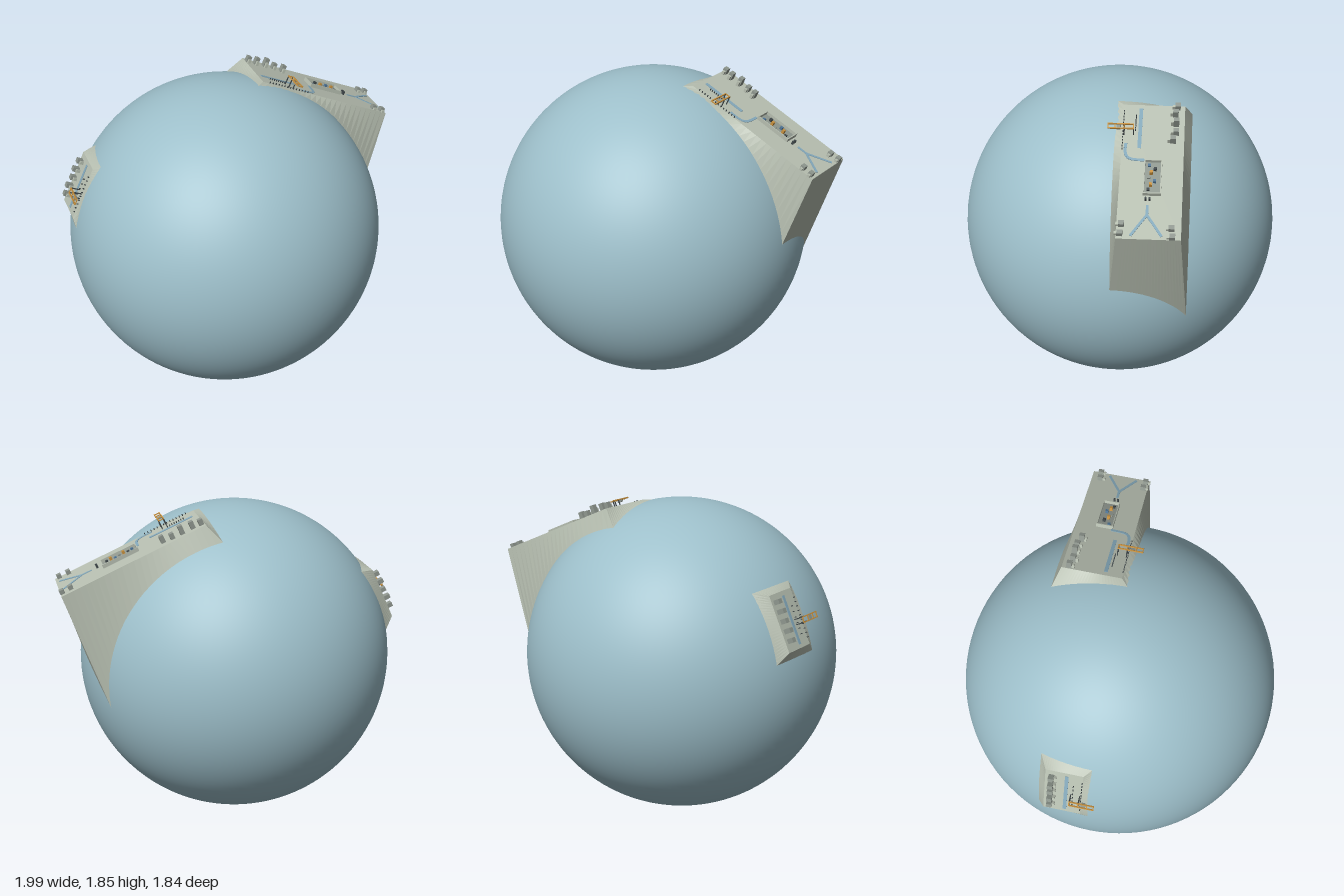
import * as THREE from 'three';

const R = 0.922;
const mat = (name, color, side = THREE.FrontSide) => {
  const m = new THREE.MeshStandardMaterial({ color, side });
  m.name = name;
  return m;
};

export function createModel() {
  const model = new THREE.Group();
  const water = mat('planet blue', 0x9dbfca);
  const concrete = mat('pale concrete', 0xb7bfb1);
  const machinery = mat('machinery grey', 0x8f978f);
  const stripe = mat('stripe blue', 0x84a8ba);
  const amber = mat('amber', 0xc8913f);
  const dark = mat('dark grey', 0x3f474a);
  const navy = mat('cargo blue', 0x4f7597);

  function add(parent, name, geometry, material, x = 0, y = 0, z = 0) {
    const mesh = new THREE.Mesh(geometry, material);
    mesh.name = name;
    mesh.position.set(x, y, z);
    parent.add(mesh);
    return mesh;
  }
  // box standing on height y
  const box = (p, name, m, w, h, d, x, y, z) =>
    add(p, name, new THREE.BoxGeometry(w, h, d), m, x, y + h / 2, z);

  // planet
  add(model, 'planet', new THREE.SphereGeometry(R, 96, 64), water, -0.077, 0.923, 0);

  // flared wall from the deck edge down to the planet surface
  function skirt(x0, x1, z0, z1, top, flare) {
    const deck = [[x0, z1], [x1, z1], [x1, z0], [x0, z0]];
    const base = [[x0 - flare, z1 + flare], [x1 + flare, z1 + flare],
      [x1 + flare, z0 - flare], [x0 - flare, z0 - flare]];
    const pos = [];
    const n = 24;
    const mix = (loop, k, f) => {
      const a = loop[k], b = loop[(k + 1) % 4];
      return [a[0] + (b[0] - a[0]) * f, a[1] + (b[1] - a[1]) * f];
    };
    const low = (k, f) => {
      const [x, z] = mix(base, k, f);
      return [x, Math.sqrt(R * R - x * x - z * z) - 0.001, z];
    };
    const high = (k, f) => {
      const [x, z] = mix(deck, k, f);
      return [x, top, z];
    };
    for (let k = 0; k < 4; k++) {
      for (let i = 0; i < n; i++) {
        const f = i / n, g = (i + 1) / n;
        pos.push(...low(k, f), ...low(k, g), ...high(k, g));
        pos.push(...low(k, f), ...high(k, g), ...high(k, f));
      }
    }
    const geo = new THREE.BufferGeometry();
    geo.setAttribute('position', new THREE.Float32BufferAttribute(pos, 3));
    geo.computeVertexNormals();
    return geo;
  }

  // platform tangent to the planet; local y points away from its centre
  const top = R + 0.002;
  function platform(name, tilt, x0, x1, z0, z1) {
    const g = new THREE.Group();
    g.name = name;
    g.position.set(-0.077, 0.923, 0);
    g.rotation.z = THREE.MathUtils.degToRad(tilt);
    model.add(g);
    add(g, 'platformSkirt', skirt(x0, x1, z0, z1, top, 0.042), concrete);
    const deck = new THREE.PlaneGeometry(x1 - x0, z1 - z0).rotateX(-Math.PI / 2);
    add(g, 'platformDeck', deck, concrete, (x0 + x1) / 2, top, (z0 + z1) / 2);
    return g;
  }

  // thin painted strip between two deck points
  function strip(p, ax, az, bx, bz, w = 0.02) {
    const m = box(p, 'deckStripe', stripe, Math.hypot(bx - ax, bz - az), 0.003, w,
      (ax + bx) / 2, top, (az + bz) / 2);
    m.rotation.y = -Math.atan2(bz - az, bx - ax);
  }

  // loading gantry reaching over the front edge
  function gantry(p, x) {
    const g = new THREE.Group();
    g.name = 'gantry';
    g.position.set(x, top, 0);
    p.add(g);
    for (const s of [-1, 1]) {
      for (const z of [-0.1, -0.05]) box(g, 'gantryLeg', dark, 0.005, 0.05, 0.005, s * 0.015, 0, z);
      box(g, 'gantryBeam', amber, 0.006, 0.007, 0.14, s * 0.015, 0.05, -0.03);
    }
    for (const z of [-0.1, -0.05, 0, 0.037]) box(g, 'gantryTie', amber, 0.036, 0.005, 0.005, 0, 0.05, z);
    box(g, 'gantryTrolley', machinery, 0.025, 0.012, 0.022, 0, 0.038, -0.02);
  }

  // stepped storage block
  function block(p, x, z, h) {
    box(p, 'storageBlock', machinery, 0.026, h, 0.03, x, top, z);
    box(p, 'storageBlockStep', concrete, 0.016, h * 0.6, 0.016, x, top, z + 0.021);
  }
  const fence = (p, x0, x1, z, n) => {
    for (let i = 0; i < n; i++)
      box(p, 'fencePost', dark, 0.005, 0.01, 0.005, x0 + (x1 - x0) * i / (n - 1), top, z);
  };

  // large platform
  const big = platform('largePlatform', -23.6, -0.127, 0.75, -0.375, -0.04);
  [[-0.11, -0.335], [-0.06, -0.325], [0.005, -0.33], [0.065, -0.33], [0.12, -0.315]]
    .forEach(([x, z], i) => block(big, x, z, 0.035 + 0.008 * (i % 3)));
  for (const [x, z] of [[0.685, -0.325], [0.737, -0.33], [0.665, -0.065], [0.722, -0.06]])
    block(big, x, z, 0.024);
  gantry(big, 0.065);
  strip(big, -0.1, -0.135, 0.17, -0.135);
  strip(big, 0.54, -0.195, 0.6, -0.195, 0.014);
  strip(big, 0.6, -0.195, 0.73, -0.275, 0.014);
  strip(big, 0.6, -0.195, 0.73, -0.115, 0.014);
  // curved stripe towards the machine tray
  const curve = new THREE.CubicBezierCurve(new THREE.Vector2(0.14, -0.062),
    new THREE.Vector2(0.26, -0.05), new THREE.Vector2(0.245, -0.09), new THREE.Vector2(0.25, -0.175));
  const pts = curve.getPoints(10);
  for (let i = 0; i < 10; i++) strip(big, pts[i].x, pts[i].y, pts[i + 1].x, pts[i + 1].y, 0.016);
  fence(big, -0.05, 0.05, -0.11, 8);
  fence(big, -0.08, 0.18, -0.043, 14);

  // machine tray
  const cx = 0.368, cz = -0.215;
  for (const s of [-1, 1]) {
    box(big, 'trayWall', concrete, 0.22, 0.022, 0.006, cx, top, cz + s * 0.045);
    box(big, 'trayWall', concrete, 0.006, 0.022, 0.09, cx + s * 0.107, top, cz);
  }
  box(big, 'trayFloor', machinery, 0.21, 0.004, 0.086, cx, top, cz);
  [navy, dark, amber, machinery, navy, amber, dark].forEach((m, i) =>
    box(big, 'trayCargo', m, 0.016, 0.014 + 0.006 * (i % 3), 0.016,
      cx - 0.08 + i * 0.026, top, cz + [0.02, -0.012, 0.008][i % 3]));
  for (const z of [-0.205, -0.185]) box(big, 'trayPost', dark, 0.012, 0.02, 0.01, 0.505, top, z);

  // small platform
  const small = platform('smallPlatform', 65, -0.17, 0.155, -0.25, -0.04);
  [-0.11, -0.055, 0, 0.055, 0.11].forEach((x, i) => block(small, x, -0.215, 0.034 + 0.006 * (i % 2)));
  strip(small, -0.15, -0.13, 0.13, -0.13);
  gantry(small, -0.03);
  fence(small, -0.13, 0.1, -0.043, 10);
  fence(small, -0.1, 0.06, -0.09, 6);

  return model;
}
